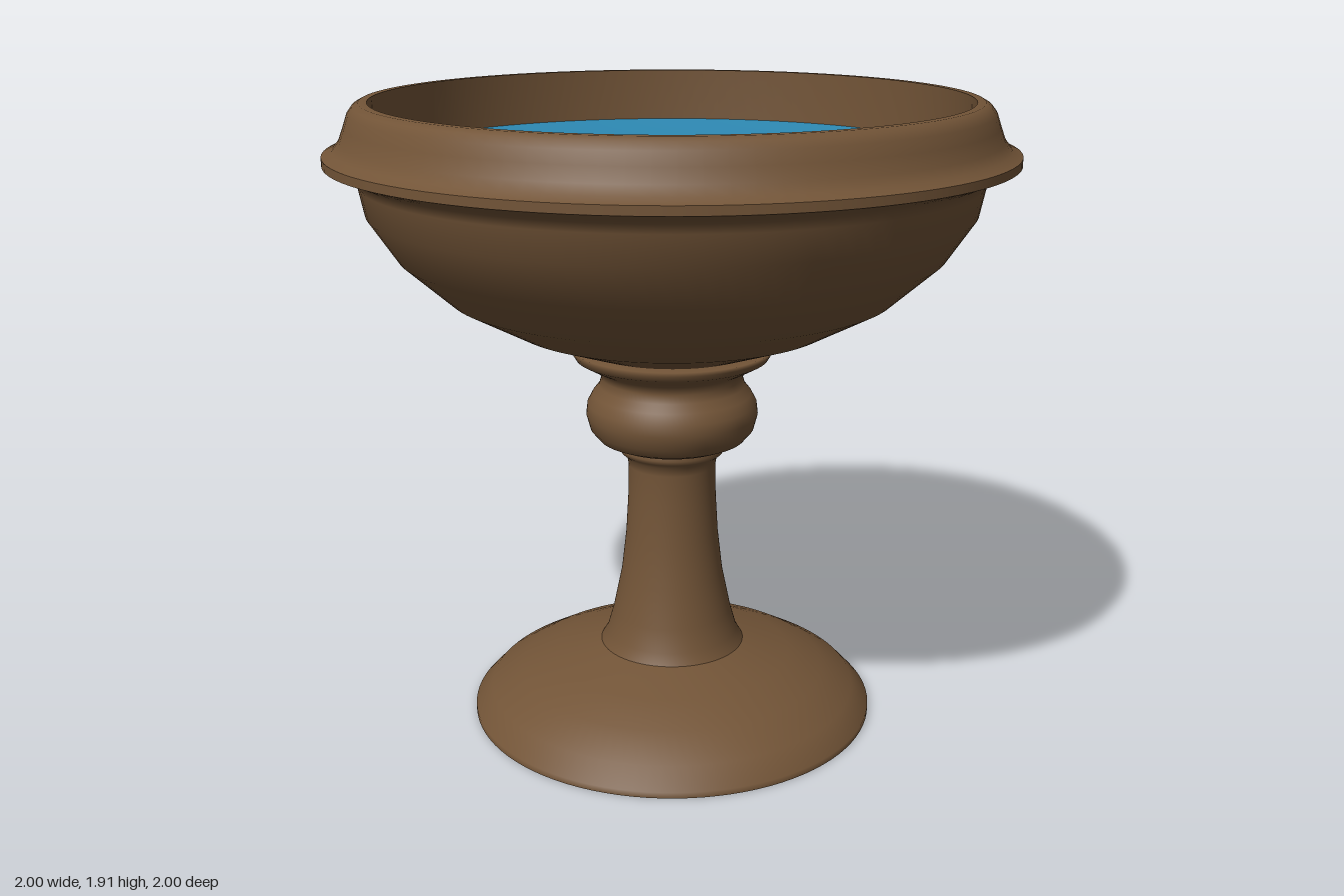
import * as THREE from 'three';

const wood = new THREE.MeshStandardMaterial({ color: 0x725437 });
wood.name = 'brown';
const blue = new THREE.MeshStandardMaterial({ color: 0x2d88b2 });
blue.name = 'water blue';

// One smooth turned surface per profile; separate profiles meet in sharp edges.
function turned(name, material, profiles) {
  const group = new THREE.Group();
  group.name = name;
  profiles.forEach((profile, i) => {
    const points = profile.map(([r, y]) => new THREE.Vector2(r, y));
    const mesh = new THREE.Mesh(new THREE.LatheGeometry(points, 96), material);
    mesh.name = `${name}Surface${i + 1}`;
    group.add(mesh);
  });
  return group;
}

export function createModel() {
  const model = new THREE.Group();
  model.name = 'fountain';

  // Domed foot with a flat underside
  model.add(turned('foot', wood, [
    [[0, 0], [0.628, 0]],
    [[0.628, 0], [0.628, 0.018], [0.575, 0.075], [0.48, 0.13], [0.37, 0.175], [0.22, 0.215]],
  ]));

  // Flared stem ending in a small ring
  model.add(turned('stem', wood, [
    [[0.225, 0.215], [0.205, 0.25], [0.185, 0.32], [0.158, 0.45], [0.143, 0.58],
      [0.136, 0.7], [0.134, 0.8], [0.139, 0.828], [0.157, 0.843], [0.164, 0.857], [0.158, 0.875]],
  ]));

  // Round knob and the collar under the bowl
  model.add(turned('knob', wood, [
    [[0.13, 0.872], [0.19, 0.875], [0.225, 0.89], [0.25, 0.92], [0.262, 0.965], [0.258, 1.0],
      [0.242, 1.03], [0.222, 1.055], [0.215, 1.08], [0.222, 1.105], [0.26, 1.125],
      [0.292, 1.143], [0.302, 1.16], [0.302, 1.172], [0.2, 1.18]],
  ]));

  // Bowl: outside up to the lip, lip edge, upright rim turning inward, hollow inside
  model.add(turned('bowl', wood, [
    [[0, 1.17], [0.27, 1.175], [0.48, 1.25], [0.665, 1.35], [0.805, 1.475], [0.888, 1.6],
      [0.905, 1.685], [0.92, 1.712], [0.95, 1.727], [1.0, 1.745]],
    [[1.0, 1.745], [1.0, 1.77]],
    [[1.0, 1.77], [0.97, 1.784], [0.95, 1.81], [0.935, 1.85], [0.923, 1.885], [0.908, 1.905],
      [0.89, 1.915], [0.866, 1.915]],
    [[0.866, 1.915], [0.865, 1.75], [0.855, 1.605], [0.78, 1.495], [0.65, 1.378],
      [0.47, 1.28], [0.26, 1.207], [0, 1.2]],
  ]));

  // Water with a gently dished surface
  const dish = [];
  for (let i = 8; i >= 0; i--) {
    const t = i / 8;
    dish.push([0.866 * t, 1.7 + 0.052 * t * t]);
  }
  model.add(turned('water', blue, [dish]));

  return model;
}
